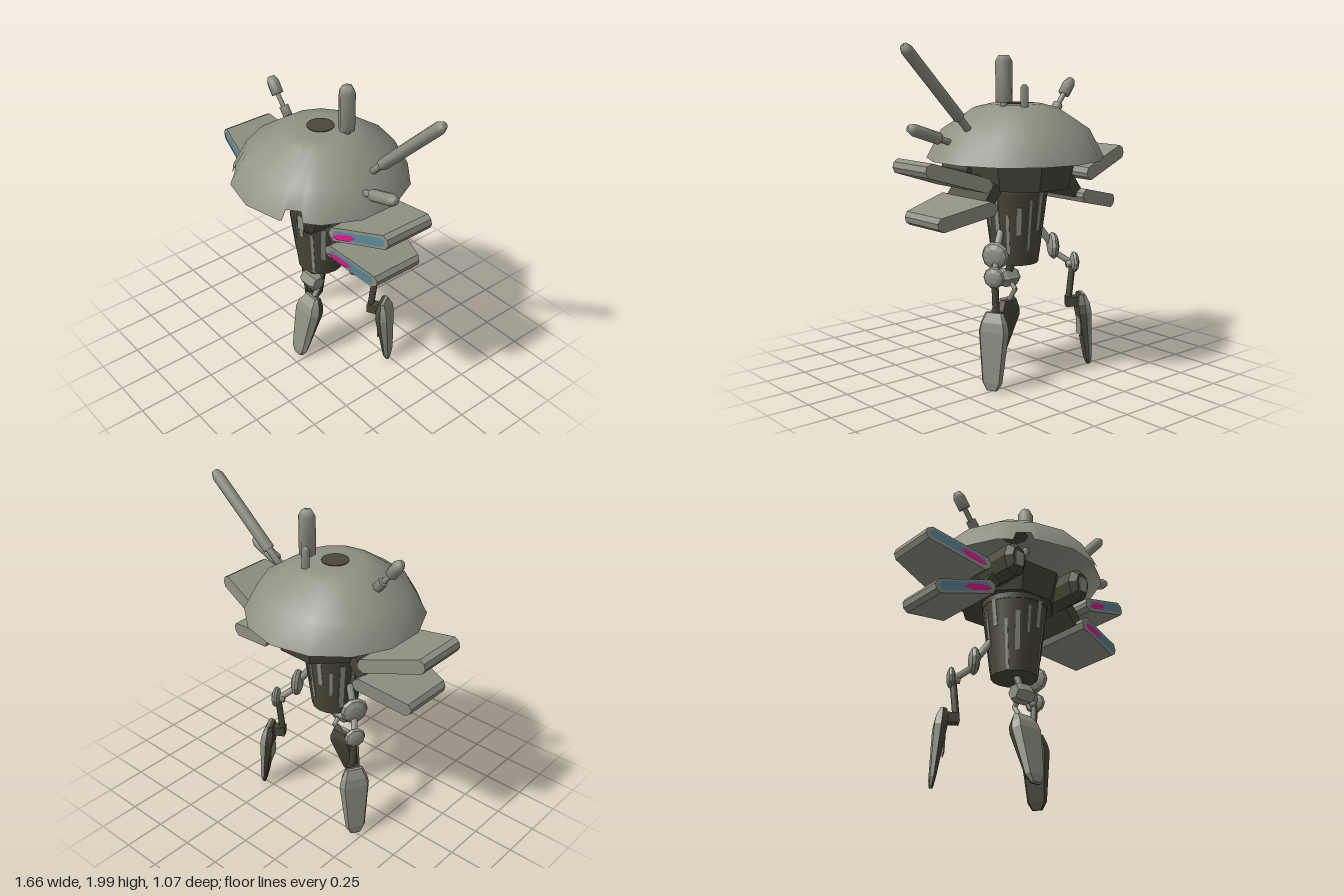
import * as THREE from 'three';

const mat = (name, color, side = THREE.FrontSide) => {
  const m = new THREE.MeshStandardMaterial({ color, side });
  m.name = name;
  return m;
};
const V = (x, y, z) => new THREE.Vector3(x, y, z);
const CX = -0.06; // body axis, offset by the long antenna

// Faceted normals without changing the material
function facet(geo) {
  const g = geo.index ? geo.toNonIndexed() : geo;
  g.computeVertexNormals();
  return g;
}

// Closed skin through rings of equal length, listed bottom to top, each counter-clockwise from above
function loft(rings) {
  const pos = [], idx = [], n = rings[0].length, last = (rings.length - 1) * n;
  rings.forEach(r => r.forEach(p => pos.push(...p)));
  for (let i = 0; i < rings.length - 1; i++)
    for (let j = 0; j < n; j++) {
      const a = i * n + j, b = i * n + (j + 1) % n;
      idx.push(a, b, b + n, a, b + n, a + n);
    }
  for (let j = 1; j < n - 1; j++) idx.push(0, j + 1, j, last, last + j, last + j + 1);
  const g = new THREE.BufferGeometry();
  g.setAttribute('position', new THREE.Float32BufferAttribute(pos, 3));
  g.setIndex(idx);
  return facet(g);
}

// Fourteen-sided dome; two notches are cut in the front rim after the normals are smoothed
function domeGeometry() {
  const notch = [1.08, 1.14, 1.52, 1.58];
  const steps = [...Array(14).keys(), ...notch, ...notch.map(t => 14 - t)].sort((a, b) => a - b);
  const corner = (j, r) => V(Math.sin(j * Math.PI / 7) * r, 0, Math.cos(j * Math.PI / 7) * r);
  const bands = [[0.535, 1.32], [0.445, 1.49], [0.25, 1.62], [0.16, 1.642], [0, 1.646]];
  const pos = [], idx = [], n = steps.length;
  for (const [r, y] of bands)
    for (const k of steps) {
      const i = Math.floor(k), p = corner(i, r).lerp(corner(i + 1, r), k - i);
      pos.push(p.x, y, p.z);
    }
  for (let b = 0; b < bands.length - 1; b++)
    for (let j = 0; j < n; j++) {
      const a = b * n + j, c = b * n + (j + 1) % n;
      idx.push(a, c, c + n);
      if (b < bands.length - 2) idx.push(a, c + n, a + n);
    }
  const g = new THREE.BufferGeometry();
  g.setAttribute('position', new THREE.Float32BufferAttribute(pos, 3));
  g.setIndex(idx);
  g.computeVertexNormals();
  const p = g.attributes.position;
  steps.forEach((k, i) => {
    const m = Math.min(k, 14 - k);
    if (m > 1.1 && m < 1.55) p.setXYZ(i, p.getX(i) * 0.955, 1.38, p.getZ(i) * 0.955);
  });
  return g;
}

export function createModel() {
  const root = new THREE.Group();
  root.name = 'walkerRobot';
  const grey = mat('armour grey', 0x8f9183, THREE.DoubleSide);
  const dark = mat('dark olive metal', 0x4a4839, THREE.DoubleSide);
  const blue = mat('blue glass', 0x5a8799);
  const pink = mat('magenta light', 0xe0178c);

  const hull = new THREE.Group();
  hull.name = 'hull';
  hull.position.x = CX;
  root.add(hull);

  const add = (parent, name, geo, material, p = [0, 0, 0]) => {
    const m = new THREE.Mesh(geo, material);
    m.name = name;
    m.position.set(...p);
    parent.add(m);
    return m;
  };
  // Smooth bar between two points, with an optional chamfered far end
  const rod = (parent, name, a, b, r, material, sides = 8, chamfer = 0) => {
    const A = V(...a), d = V(...b).sub(A), L = d.length();
    const pts = [[0, 0], [r, 0], [r, L - chamfer], [chamfer ? r * 0.6 : r, L], [0, L]];
    const m = add(parent, name, new THREE.LatheGeometry(pts.map(p => new THREE.Vector2(...p)), sides), material, a);
    m.quaternion.setFromUnitVectors(V(0, 1, 0), d.normalize());
    return m;
  };

  // Dome, head and neck
  add(hull, 'dome', domeGeometry(), grey);
  add(hull, 'domeHatch', new THREE.CylinderGeometry(0.08, 0.08, 0.009, 20), dark, [0, 1.644, 0]);
  const head = facet(new THREE.CylinderGeometry(0.34, 0.295, 0.175, 8, 1, false, Math.PI / 8));
  add(hull, 'head', head, dark, [0, 1.243, -0.07]);
  add(hull, 'neck', new THREE.CylinderGeometry(0.2, 0.2, 0.06, 16), dark, [0, 1.15, 0]);

  // Tapered body with light vertical streaks
  const bodyRadius = y => 0.14 + 0.06 * (y - 0.68) / 0.47;
  add(hull, 'body', new THREE.CylinderGeometry(0.2, 0.14, 0.47, 16), dark, [0, 0.915, 0]);
  for (let i = 0; i < 16; i++) {
    const len = 0.17 + 0.07 * ((i * 5) % 3), top = 1.13 - 0.045 * ((i * 3) % 4), y = top - len / 2;
    const pivot = new THREE.Group();
    pivot.name = 'bodyStreak';
    pivot.rotation.y = (i + 0.5) * Math.PI / 8;
    hull.add(pivot);
    const streak = add(pivot, 'streak', new THREE.BoxGeometry(i % 2 ? 0.018 : 0.028, len, 0.008), grey,
      [0, y, bodyRadius(y) * 0.98]);
    streak.rotation.x = 0.127;
  }

  // Wings: chamfered slabs, wider at the root, with a glazed front edge
  const wing = (s, x, y, angle, L, name) => {
    const g = new THREE.Group();
    g.name = name;
    g.position.set(s * x, y, 0);
    g.rotation.z = s * angle;
    hull.add(g);
    const shape = pts => new THREE.Shape(pts.map(([u, v]) => new THREE.Vector2(s * u, v)));
    const outline = (u0, u1, h, c) => shape([[u0, -h * 0.3], [u0 + c, -h], [u1 - c, -h],
      [u1, -h * 0.4], [u1, h * 0.4], [u1 - c, h], [u0 + c, h], [u0, h * 0.3]]);
    const w = u => 0.24 - 0.08 * Math.abs(u) / L;
    const slab = new THREE.ExtrudeGeometry(outline(0, L, 0.042, 0.025), { depth: 2, bevelEnabled: false });
    const p = slab.attributes.position;
    for (let i = 0; i < p.count; i++) p.setZ(i, (p.getZ(i) - 1) * w(p.getX(i)));
    add(g, 'wingSlab', facet(slab), grey);
    const plate = (label, flat, off, material) => {
      const geo = new THREE.ShapeGeometry(flat), q = geo.attributes.position;
      for (let i = 0; i < q.count; i++) q.setZ(i, w(q.getX(i)) + off);
      add(g, label, facet(geo), material);
    };
    plate('wingGlass', outline(0.035, L - 0.022, 0.027, 0.02), 0.004, blue);
    plate('wingLight', shape([[0.03, -0.012], [0.06, -0.026], [0.15, -0.025], [0.2, -0.004],
      [0.17, 0.012], [0.1, 0.012], [0.06, 0.004]]), 0.008, pink);
  };

  for (const s of [1, -1]) {
    wing(s, 0.375, 1.2, 0.3, 0.415, 'upperWing');
    wing(s, 0.34, 1.08, -0.225, 0.365, 'lowerWing');
    rod(hull, 'wingArm', [s * 0.2, 1.2, 0], [s * 0.39, 1.2, 0], 0.045, dark, 6);
    const brace = add(hull, 'wingBrace', new THREE.BoxGeometry(0.07, 0.13, 0.36), dark, [s * 0.32, 1.135, 0]);
    brace.rotation.z = s * 0.65;

    // Front pods with a light face plate
    const pod = rod(hull, 'frontPod', [s * 0.25, 1.265, 0.05], [s * 0.25, 1.265, 0.34], 0.08, dark, 8, 0.04);
    pod.geometry = facet(pod.geometry);
    pod.scale.z = 1.35;
    add(hull, 'podFace', new THREE.BoxGeometry(0.055, 0.09, 0.008), grey, [s * 0.25, 1.25, 0.341]);
  }

  // Antennas on the dome: stem and sleeve
  const antennas = [
    ['tallAntenna', [0.09, 1.6, -0.07], [0.09, 1.66, -0.07], [0.09, 1.93, -0.07], 0.05, 0.022, 6],
    ['longAntenna', [0.32, 1.49, -0.05], [0.41, 1.585, -0.06], [0.805, 1.985, -0.1], 0.036, 0.022, 8],
    ['sideAntenna', [0.38, 1.43, 0.05], [0.465, 1.46, 0.055], [0.665, 1.53, 0.07], 0.036, 0.02, 8],
    ['leftAntenna', [-0.36, 1.56, 0], [-0.46, 1.685, 0.005], [-0.525, 1.775, 0.005], 0.037, 0.016, 8],
  ];
  for (const [name, a, b, c, r, stem, sides] of antennas) {
    rod(root, name + 'Stem', a, b, stem, grey, 6);
    rod(root, name, b, c, r, grey, sides, 0.035);
  }
  rod(root, 'leftAntennaJoint', [-0.37, 1.575, 0], [-0.41, 1.625, 0], 0.032, grey, 6);
  rod(root, 'shortAntenna', [0.015, 1.6, -0.165], [0.015, 1.76, -0.165], 0.024, grey, 5, 0.015);

  // Foot: dark inner slab and light chamfered outer shell; levels hold y, half width, inner and outer depth
  const levels = [[0, 0.035, 0.012, 0.016], [0.045, 0.065, 0.02, 0.026], [0.33, 0.098, 0.05, 0.05],
    [0.38, 0.085, 0.05, 0.045], [0.435, 0.058, 0.03, 0.02]];
  const ring = (y, wFront, zFront, wBack, zBack) =>
    [[-wFront, y, zFront], [wFront, y, zFront], [wBack, y, zBack], [-wBack, y, zBack]];
  const foot = (parent, x, z, tilt, scale) => {
    const g = new THREE.Group();
    g.name = 'foot';
    g.position.set(x, 0.01, z);
    g.rotation.x = tilt;
    g.scale.set(...scale);
    parent.add(g);
    add(g, 'footInner', loft(levels.map(([y, w, i]) => ring(y, w, 0, w * 0.78, -i))), dark);
    add(g, 'footShell', loft(levels.map(([y, w, , o]) => ring(y, w * 0.78, o, w, 0))), grey);
    return g;
  };
  const disc = (parent, name, p, r) => {
    const geo = facet(new THREE.SphereGeometry(r, 10, 6).rotateX(Math.PI / 2));
    add(parent, name, geo, grey, p).scale.z = 0.42;
  };

  // Front leg
  const front = new THREE.Group();
  front.name = 'frontLeg';
  hull.add(front);
  rod(front, 'thigh', [0, 0.75, 0.0], [0, 0.57, 0.075], 0.026, dark, 6);
  const barrel = [[0, -0.065], [0.045, -0.065], [0.06, -0.04], [0.06, 0.04], [0.045, 0.065], [0, 0.065]];
  const knee = new THREE.LatheGeometry(barrel.map(p => new THREE.Vector2(...p)), 6).rotateZ(Math.PI / 2);
  add(front, 'knee', facet(knee), grey, [0, 0.565, 0.07]);
  rod(front, 'shin', [0, 0.55, 0.05], [0, 0.5, 0.0], 0.015, grey, 6);
  rod(front, 'ankle', [0, 0.505, 0.0], [0, 0.41, 0.065], 0.016, grey, 6);
  foot(front, 0, 0.185, -0.27, [1, 1, 1]);

  // Rear side legs
  for (const s of [1, -1]) {
    const leg = new THREE.Group();
    leg.name = 'rearLeg';
    leg.rotation.y = s * Math.PI * 2 / 3;
    hull.add(leg);
    const t = -0.04 * s;
    rod(leg, 'hipArm', [t, 0.89, 0.15], [t, 0.77, 0.235], 0.022, grey, 6);
    disc(leg, 'hip', [t, 0.76, 0.245], 0.085);
    rod(leg, 'thigh', [t, 0.72, 0.25], [0, 0.65, 0.36], 0.02, grey, 6);
    disc(leg, 'knee', [0, 0.66, 0.373], 0.065);
    rod(leg, 'kneePin', [0, 0.65, 0.32], [0, 0.65, 0.38], 0.025, grey, 6);
    rod(leg, 'shin', [0, 0.64, 0.36], [0, 0.4, 0.335], 0.021, dark, 6);
    add(leg, 'ankle', new THREE.BoxGeometry(0.06, 0.06, 0.1), dark, [0, 0.41, 0.37]);
    const sole = foot(leg, 0.018 * s, 0.46, -0.1, [0.95, 1.05, 0.75]);
    const panel = add(sole, 'footPanel', new THREE.BoxGeometry(0.115, 0.14, 0.009), grey, [0, 0.255, -0.044]);
    panel.rotation.x = 0.105;
  }
  return root;
}
